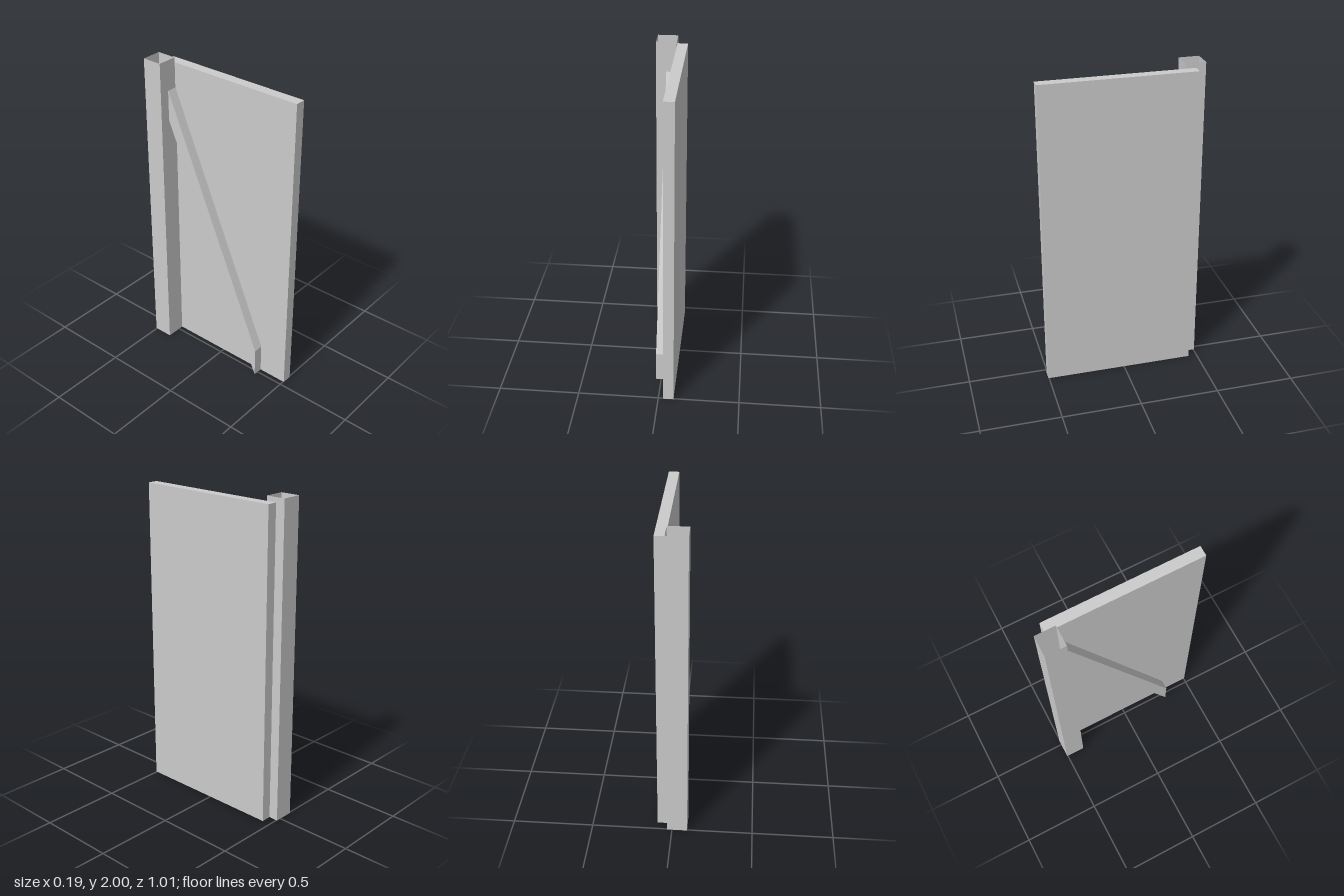
import * as THREE from 'three';

export function createModel() {
  const group = new THREE.Group();
  const solid = new THREE.MeshStandardMaterial({ color: 0xcccccc, flatShading: true });
  const thin = new THREE.MeshStandardMaterial({ color: 0xcccccc, flatShading: true, side: THREE.DoubleSide });

  const add = (name, geometry, material, x, y, z) => {
    const mesh = new THREE.Mesh(geometry, material);
    mesh.name = name;
    mesh.position.set(x, y, z);
    group.add(mesh);
  };

  // Flat upright panel
  add('panel', new THREE.BoxGeometry(0.064, 1.97, 0.95), solid, 0.063, 0.985, 0.03);

  // Square hollow post, thin-walled and open at both ends
  const postWidth = 0.126;
  const post = new THREE.CylinderGeometry(postWidth / Math.SQRT2, postWidth / Math.SQRT2, 2, 4, 1, true, Math.PI / 4);
  add('post', post, thin, -0.032, 1, -0.442);

  // Diagonal brace with vertical ends: profile drawn in (-z, y), extruded along x
  const profile = new THREE.Shape([
    new THREE.Vector2(-0.315, 0),
    new THREE.Vector2(0.379, 1.62),
    new THREE.Vector2(0.379, 1.81),
    new THREE.Vector2(-0.315, 0.195),
  ]);
  const brace = new THREE.ExtrudeGeometry(profile, { depth: 0.063, bevelEnabled: false });
  brace.rotateY(Math.PI / 2);
  add('brace', brace, solid, -0.032, 0, 0);

  return group;
}
